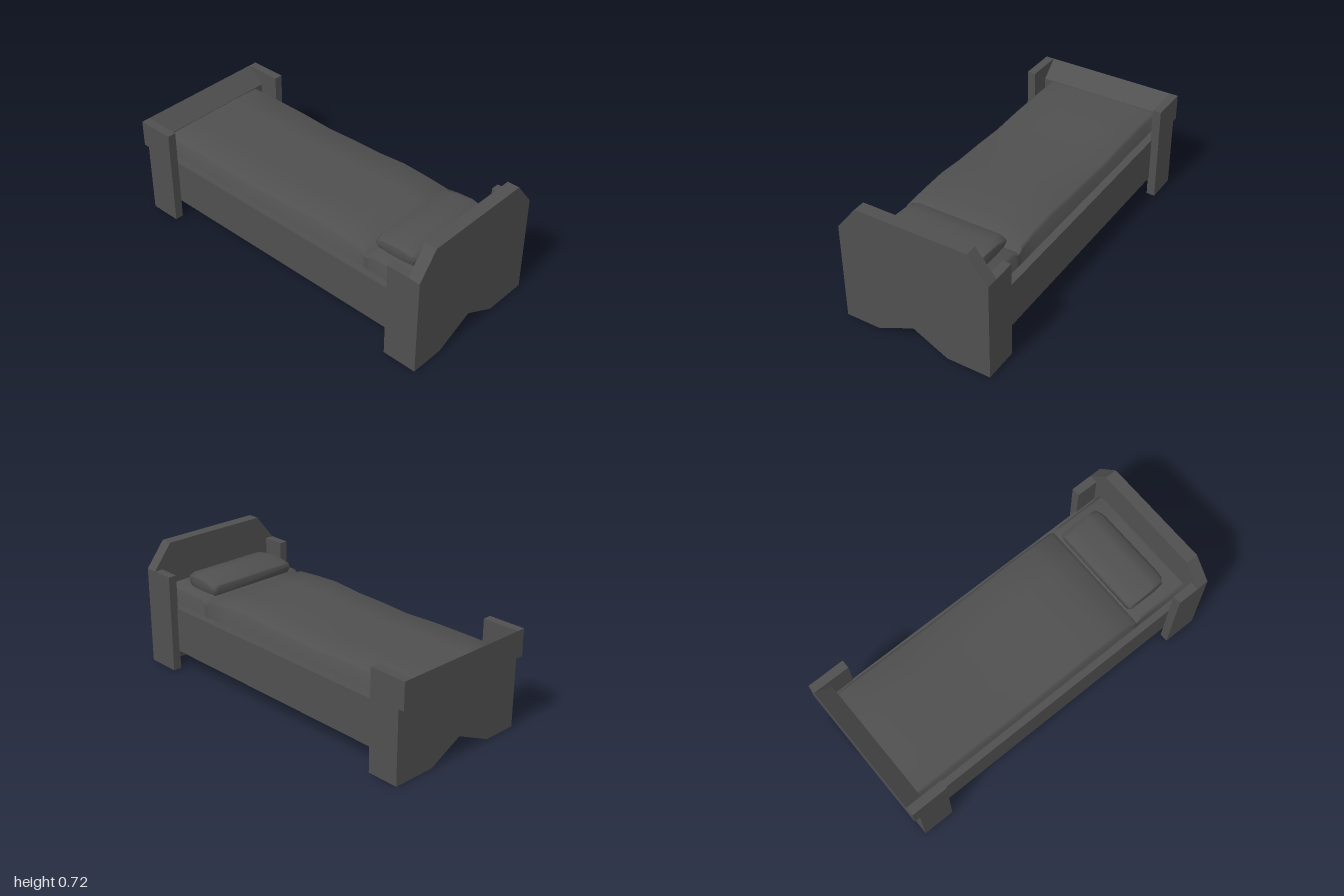
import * as THREE from 'three';
import { toCreasedNormals } from 'three/addons/utils/BufferGeometryUtils.js';

const charcoal = new THREE.MeshStandardMaterial({ color: 0x505050 });
charcoal.name = 'charcoal';

function add(group, name, geometry) {
  const mesh = new THREE.Mesh(geometry, charcoal);
  mesh.name = name;
  group.add(mesh);
}

// Box given by its limits on each axis
function box(x0, x1, y0, y1, z0, z1) {
  return new THREE.BoxGeometry(x1 - x0, y1 - y0, z1 - z0)
    .translate((x0 + x1) / 2, (y0 + y1) / 2, (z0 + z1) / 2);
}

function extrude(outline, depth) {
  const shape = new THREE.Shape(outline.map(([a, b]) => new THREE.Vector2(a, b)));
  return new THREE.ExtrudeGeometry(shape, { depth, bevelEnabled: false });
}

// Upright board across the bed, from an outline of [-z, y] points
function board(outline, x0, x1) {
  return extrude(outline, x1 - x0).rotateY(Math.PI / 2).translate(x0, 0, 0);
}

// Solid with a side outline of [x, y] points
function profile(outline, z0, z1) {
  return extrude(outline, z1 - z0).translate(0, 0, z0);
}

// Closed solid through rings of [x, y, z] points, running along +x
function loft(rings, crease) {
  const n = rings[0].length, index = [];
  for (let i = 0; i < rings.length - 1; i++) {
    for (let j = 0; j < n; j++) {
      const a = i * n + j, b = i * n + (j + 1) % n;
      index.push(a, b, b + n, a, b + n, a + n);
    }
  }
  const last = (rings.length - 1) * n;
  for (let j = 1; j < n - 1; j++) {
    index.push(0, j + 1, j, last, last + j, last + j + 1);
  }
  const geometry = new THREE.BufferGeometry();
  geometry.setAttribute('position', new THREE.Float32BufferAttribute(rings.flat(2), 3));
  geometry.setIndex(index);
  return toCreasedNormals(geometry, crease);
}

export function createModel() {
  const bed = new THREE.Group();
  bed.name = 'bed';

  // Both end boards share the notched foot
  const notch = [[-0.24, 0], [-0.015, 0.103], [0.185, 0]];
  add(bed, 'headboard', board([[-0.44, 0], ...notch, [0.44, 0], [0.44, 0.575],
    [0.325, 0.72], [-0.325, 0.72], [-0.44, 0.575]], 0.93, 1));
  add(bed, 'footboard', board([[-0.39, 0], ...notch, [0.39, 0], [0.39, 0.42], [-0.39, 0.42]],
    -0.965, -0.9));

  // Braces easing from the notched boards up to the flat underside, as [z, y] rings
  const notched = [[0.015, 0.103], [-0.185, 0], [-0.39, 0], [-0.39, 0.13], [0.39, 0.13], [0.39, 0], [0.24, 0]];
  const boardEnd = (x) => notched.map(([z, y]) => [x, y, z]);
  const flatEnd = (x) => notched.map(([z, y]) => [x, Math.max(y, 0.11), z]);
  add(bed, 'footBrace', loft([boardEnd(-0.91), flatEnd(-0.78)], 0.9));
  add(bed, 'headBrace', loft([flatEnd(0.8), boardEnd(0.94)], 0.9));

  // Overhanging foot rail whose top slopes down to the mattress
  add(bed, 'footRail', profile(
    [[-1, 0.42], [-0.9, 0.42], [-0.9, 0.485], [-1, 0.575]], -0.39, 0.39));

  // Wings that wrap the corners, and the long side rails
  const footWing = [[-0.965, 0], [-0.78, 0], [-0.78, 0.575], [-1, 0.575], [-1, 0.42], [-0.965, 0.42]];
  for (const [side, z0, z1, r0, r1] of [
    ['front', 0.39, 0.44, 0.35, 0.39], ['back', -0.44, -0.39, -0.395, -0.35]]) {
    add(bed, side + 'HeadWing', box(0.8, 0.93, 0, 0.575, z0, z1));
    add(bed, side + 'FootWing', profile(footWing, z0, z1));
    add(bed, side + 'SideRail', box(-0.9, 0.93, 0.11, 0.375, r0, r1));
  }

  // Mattress on a shallow base, with a rumpled top and a crease before the pillow
  const heights = [[-0.9, 0.482], [-0.75, 0.485], [-0.5, 0.483], [-0.3, 0.474], [-0.1, 0.483],
    [0.08, 0.486], [0.25, 0.5], [0.42, 0.492], [0.56, 0.48], [0.588, 0.458], [0.62, 0.478], [0.93, 0.478]];
  add(bed, 'mattress', loft(heights.map(([x, y]) => [
    [x, 0.122, -0.35], [x, y - 0.015, -0.35], [x, y - 0.003, -0.335], [x, y, -0.15],
    [x, y, 0.15], [x, y - 0.003, 0.335], [x, y - 0.015, 0.35], [x, 0.122, 0.35],
  ]), 0.9));

  // Pillow: x, bottom, top and half width of each section
  const pillow = [[0.592, 0.485, 0.535, 0.28], [0.605, 0.475, 0.543, 0.286], [0.67, 0.47, 0.552, 0.288],
    [0.76, 0.47, 0.558, 0.288], [0.825, 0.475, 0.552, 0.28], [0.85, 0.49, 0.525, 0.25]];
  add(bed, 'pillow', loft(pillow.map(([x, b, t, w]) => [
    [x, b, -w + 0.015], [x, (b + t) / 2, -w], [x, t - 0.012, -w + 0.006], [x, t, -w + 0.04],
    [x, t, w - 0.04], [x, t - 0.012, w - 0.006], [x, (b + t) / 2, w], [x, b, w - 0.015],
  ]), 1.0));

  return bed;
}
